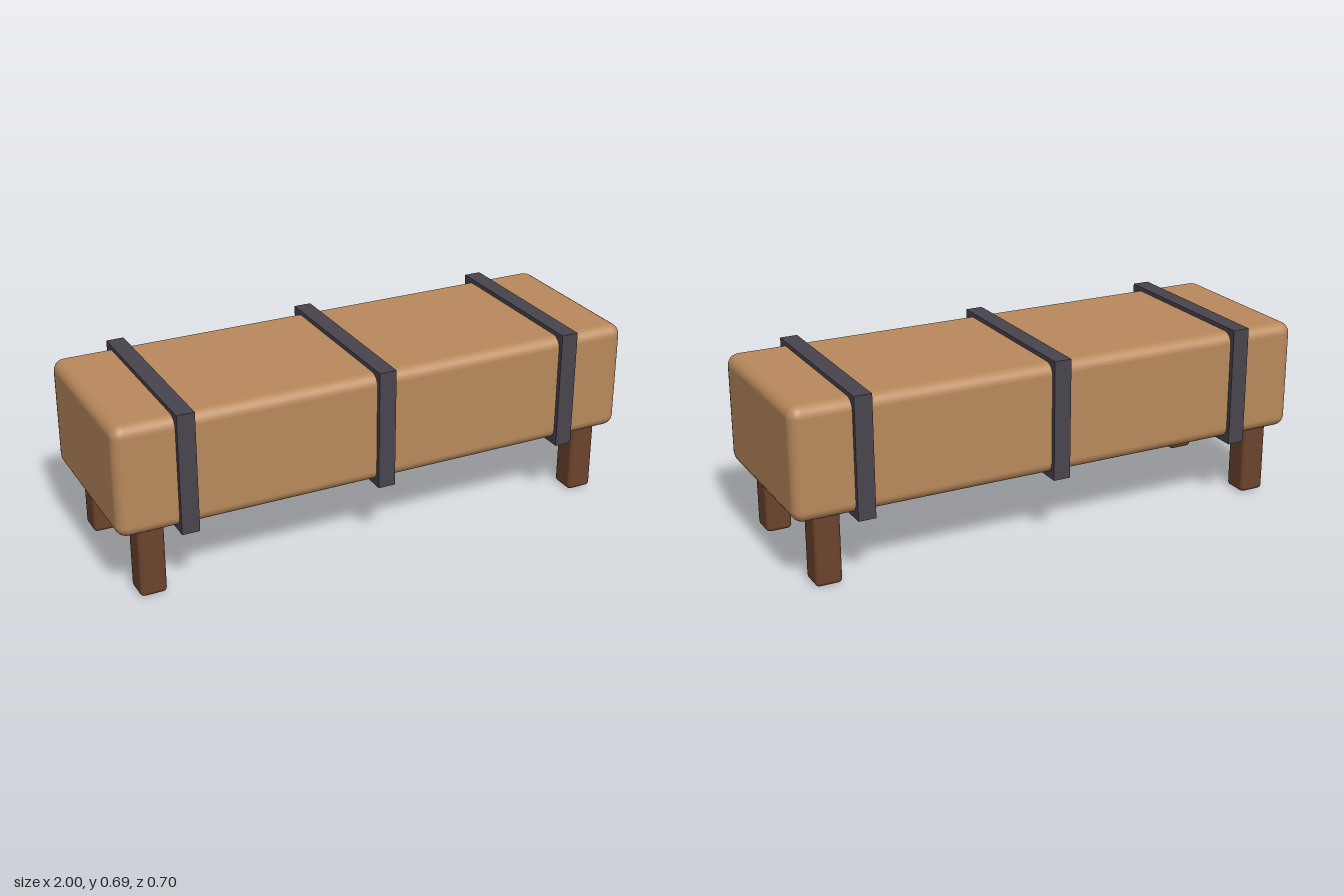
import * as THREE from 'three';
import { RoundedBoxGeometry } from 'three/addons/geometries/RoundedBoxGeometry.js';

export function createModel() {
  const model = new THREE.Group();
  model.name = 'strappedBench';

  const material = (name, color) => {
    const m = new THREE.MeshStandardMaterial({ color });
    m.name = name;
    return m;
  };
  const tan = material('tanLeather', 0xb9895c);
  const wood = material('darkWood', 0x6b432d);
  const strapGrey = material('strapGrey', 0x48444d);

  const add = (name, geometry, mat, x, y, z) => {
    const mesh = new THREE.Mesh(geometry, mat);
    mesh.name = name;
    mesh.position.set(x, y, z);
    model.add(mesh);
  };

  // Long padded body with softly rounded edges
  add('body', new RoundedBoxGeometry(2, 0.414, 0.664, 3, 0.042), tan, 0, 0.465, 0);

  // Three square straps wrapped around the body
  const strap = new THREE.BoxGeometry(0.065, 0.448, 0.7);
  [['rightStrap', -0.75], ['middleStrap', 0], ['leftStrap', 0.75]].forEach(([name, x]) =>
    add(name, strap, strapGrey, x, 0.464, 0));

  // Four square legs, their tops sunk into the body
  const leg = new RoundedBoxGeometry(0.098, 0.3, 0.1, 2, 0.016);
  for (const [side, x] of [['Left', 0.875], ['Right', -0.875]])
    for (const [end, z] of [['front', 0.25], ['back', -0.25]])
      add(`${end}${side}Leg`, leg, wood, x, 0.15, z);

  return model;
}
